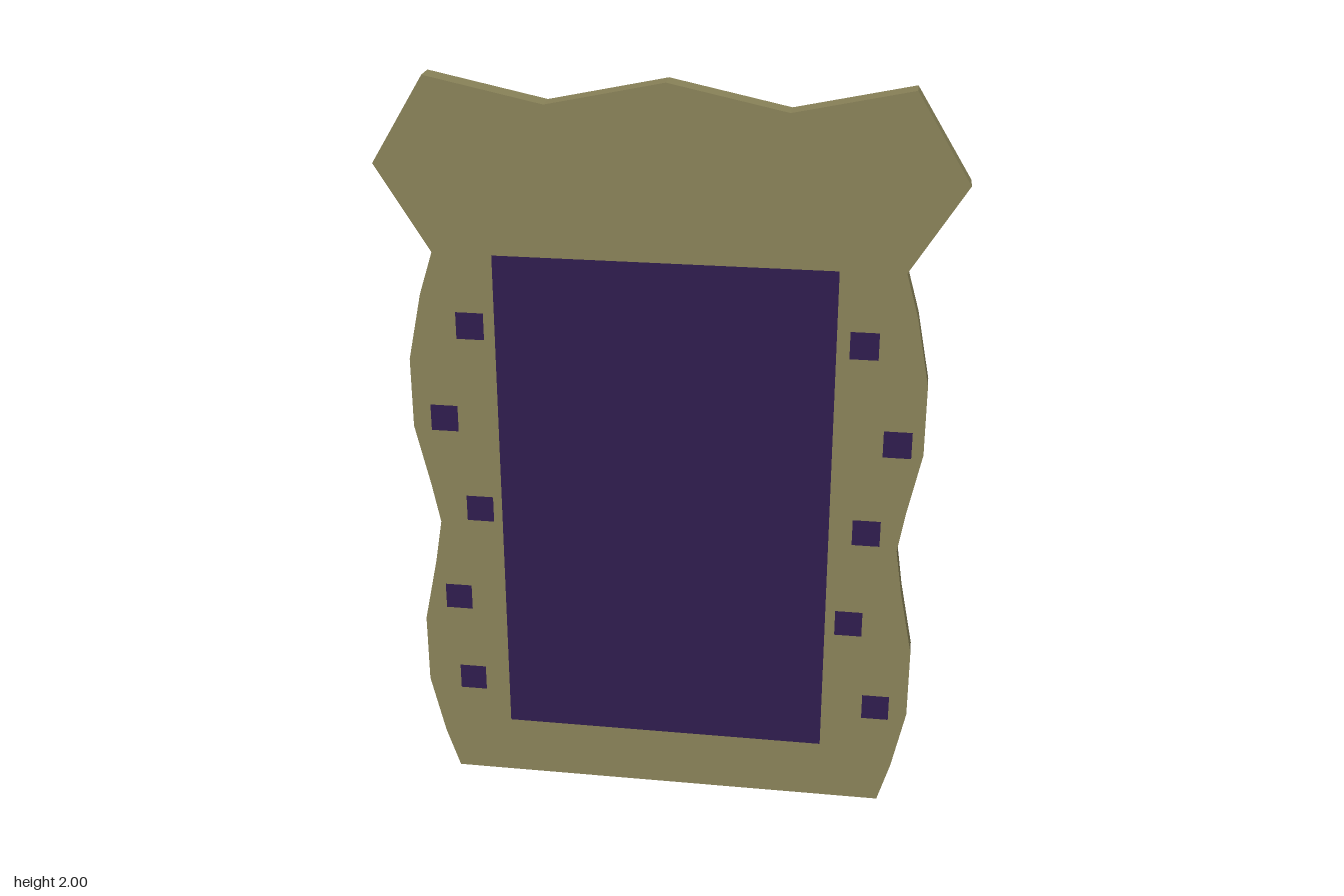
import * as THREE from 'three';
import { toCreasedNormals } from 'three/addons/utils/BufferGeometryUtils.js';

const FRONT = 0.029, BACK = -0.029;
const DEPTH = FRONT - BACK;

const paint = (color) => new THREE.MeshStandardMaterial({ color, side: THREE.DoubleSide });

// Wavy side from the foot up to the ear tip; sign picks the side.
function sideProfile(sign, foot, mid, bulge, waist, ear) {
  return [
    [foot, 0], [mid, 0.115], [bulge, 0.285], [bulge, 0.48], [mid, 0.66], [waist, 0.785],
    [mid, 0.895], [bulge, 1.065], [bulge, 1.255], [mid, 1.435], [foot, 1.55],
    [ear, 1.775], [foot, 2],
  ].map(([x, y]) => new THREE.Vector2(sign * x, y));
}

// Upright strip of wall following a path in x and y, from front to back.
function wallGeometry(points) {
  const pos = [];
  points.forEach((a, i) => {
    const b = points[(i + 1) % points.length];
    pos.push(a.x, a.y, FRONT, a.x, a.y, BACK, b.x, b.y, BACK);
    pos.push(a.x, a.y, FRONT, b.x, b.y, BACK, b.x, b.y, FRONT);
  });
  const geo = new THREE.BufferGeometry();
  geo.setAttribute('position', new THREE.Float32BufferAttribute(pos, 3));
  return toCreasedNormals(geo, 0.4);
}

export function createModel() {
  const model = new THREE.Group();
  const olive = paint(0x8a8359), purple = paint(0x301d4e), yellow = paint(0xb0a810);

  function add(name, geometry, material, x = 0, y = 0, z = 0, turn = 0) {
    const mesh = new THREE.Mesh(geometry, material);
    mesh.name = name;
    mesh.position.set(x, y, z);
    mesh.rotation.y = turn;
    model.add(mesh);
    return mesh;
  }

  // Outline, counter-clockwise from the front
  const outline = [
    ...sideProfile(1, 0.597, 0.63, 0.665, 0.612, 0.737),
    new THREE.Vector2(0.3, 1.937), new THREE.Vector2(0, 2), new THREE.Vector2(-0.3, 1.937),
    ...sideProfile(-1, 0.6, 0.637, 0.675, 0.616, 0.739).reverse(),
  ];

  // Window and pocket dimensions
  const left = -0.445, right = 0.432, low = 0.167, high = 1.548;
  const width = right - left, cx = (left + right) / 2;

  // Front plate with the window cut out
  const plate = new THREE.Shape(outline);
  plate.holes.push(new THREE.Path([
    new THREE.Vector2(left, low), new THREE.Vector2(left, high),
    new THREE.Vector2(right, high), new THREE.Vector2(right, low),
  ]));
  add('frontPlate', new THREE.ShapeGeometry(plate), olive, 0, 0, FRONT);

  // Thin rim running round the plate, open at the back
  add('rim', wallGeometry(outline), olive);

  // Screen filling the window
  add('screen', new THREE.PlaneGeometry(width, high - low), purple, cx, (low + high) / 2, FRONT);

  // Pocket behind the screen, open at the top
  add('pocketBack', new THREE.PlaneGeometry(width, high), olive, cx, high / 2, BACK, Math.PI);
  for (const [name, x, turn] of [['pocketSideLeft', right, 1], ['pocketSideRight', left, -1]]) {
    add(name, new THREE.PlaneGeometry(DEPTH, high), olive, x, high / 2, 0, turn * Math.PI / 2);
  }

  // Yellow patch on the right side of the pocket
  add('sidePatch', new THREE.PlaneGeometry(DEPTH * 0.85, 0.3), yellow, left - 0.001, 1.2, 0, -Math.PI / 2);

  // Small squares scattered down both borders
  const squares = [
    [-0.51, 1.355], [-0.59, 1.093], [-0.505, 0.832], [-0.577, 0.557], [-0.548, 0.3],
    [0.502, 1.355], [0.598, 1.09], [0.53, 0.832], [0.495, 0.557], [0.579, 0.3],
  ];
  const squareGeo = new THREE.PlaneGeometry(0.073, 0.073);
  squares.forEach(([x, y], i) => add('square' + (i + 1), squareGeo, purple, x, y, FRONT + 0.001));

  return model;
}
